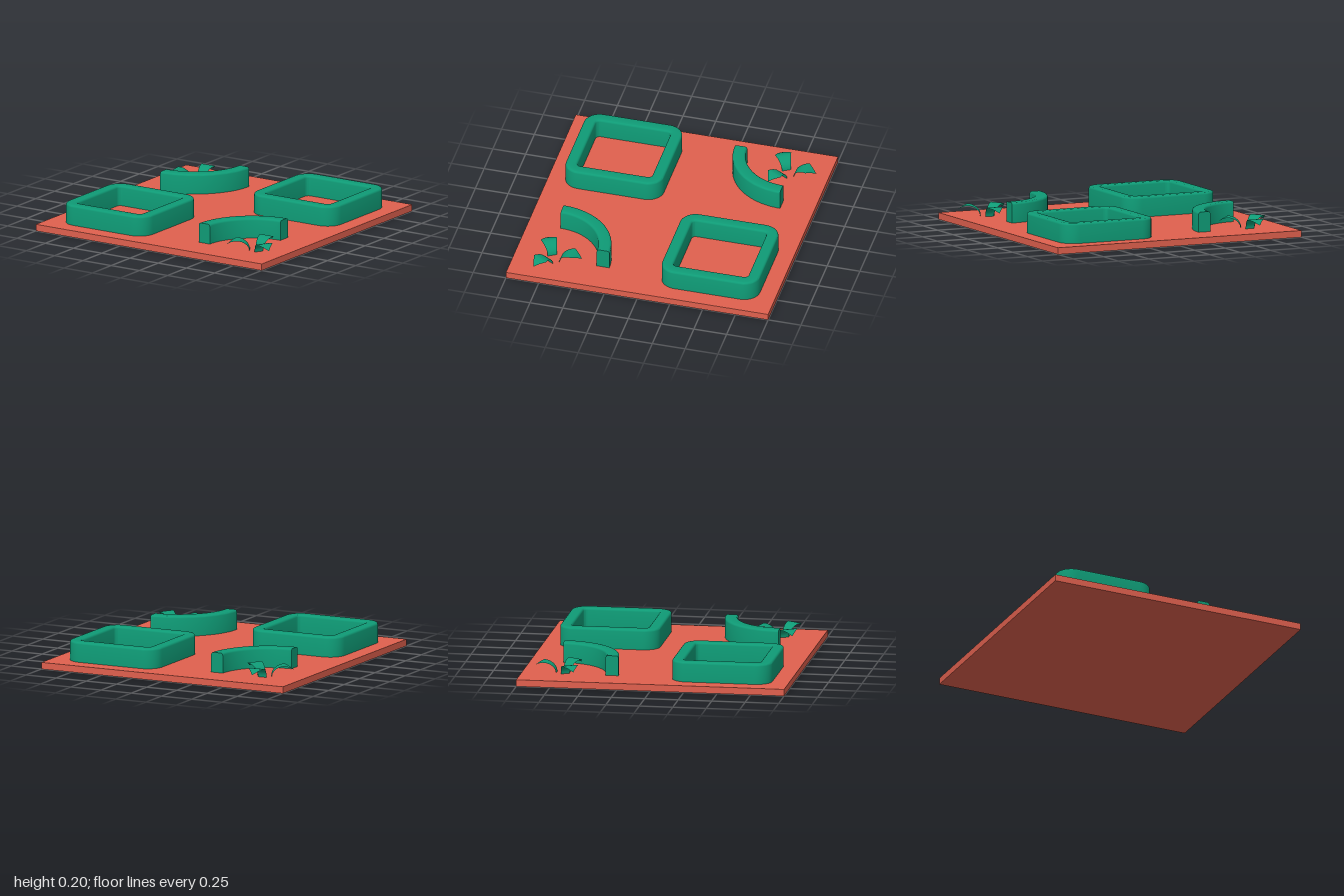
import * as THREE from 'three';
import { toCreasedNormals } from 'three/addons/utils/BufferGeometryUtils.js';

const PLATE_TOP = 0.05, WALL_TOP = 0.2;

// Wall cross-section [offset from centre line, y] with rounded top edges
function wallProfile(half, bevel = 0.016) {
  const pts = [[half, PLATE_TOP]];
  for (const start of [0, Math.PI / 2]) {
    for (let k = 0; k <= 3; k++) {
      const a = start + (k / 3) * Math.PI / 2;
      const cx = start === 0 ? half - bevel : bevel - half;
      pts.push([cx + bevel * Math.cos(a), WALL_TOP - bevel + bevel * Math.sin(a)]);
    }
  }
  pts.push([-half, PLATE_TOP]);
  return pts;
}

// Sweep a profile along a flat path of {x, z, a}, where a is the outward angle
function sweep(path, profile, closed) {
  const pos = [], idx = [], m = profile.length, n = path.length;
  for (const p of path)
    for (const [off, y] of profile)
      pos.push(p.x + off * Math.cos(p.a), y, p.z + off * Math.sin(p.a));
  for (let i = 0; i < (closed ? n : n - 1); i++) {
    for (let j = 0; j < m; j++) {
      const i2 = ((i + 1) % n) * m, j2 = (j + 1) % m;
      const a = i * m + j, b = i * m + j2, c = i2 + j2, d = i2 + j;
      idx.push(a, b, d, b, c, d);
    }
  }
  if (!closed) {
    const e = (n - 1) * m;
    for (let j = 1; j < m - 1; j++) idx.push(0, j + 1, j, e, e + j, e + j + 1);
  }
  const g = new THREE.BufferGeometry();
  g.setAttribute('position', new THREE.Float32BufferAttribute(pos, 3));
  g.setIndex(idx);
  return toCreasedNormals(g, Math.PI / 5);
}

// Points on a circular arc
function arcPath(cx, cz, r, a0, a1, steps) {
  return Array.from({ length: steps + 1 }, (_, k) => {
    const a = a0 + (a1 - a0) * k / steps;
    return { x: cx + r * Math.cos(a), z: cz + r * Math.sin(a), a };
  });
}

// Square frame with rounded corners
function frameGeometry() {
  const r = 0.075, c = 0.329 - r, path = [];
  [[1, 1], [-1, 1], [-1, -1], [1, -1]].forEach(([sx, sz], q) =>
    path.push(...arcPath(sx * c, sz * c, r, q * Math.PI / 2, (q + 1) * Math.PI / 2, 8)));
  return sweep(path, wallProfile(0.044), true);
}

// Thin leaf that rises from the plate, arches outward and ends in a drooping point
function leafGeometry() {
  const rows = 10, bend = 8, g = new THREE.PlaneGeometry(2, 1, 2, rows), p = g.attributes.position;
  for (let i = 0; i < p.count; i++) {
    const side = p.getX(i), row = Math.floor(i / 3);
    let out, y, half;
    if (row <= bend) {
      const t = (row / bend) * Math.PI / 2;
      out = 0.047 + 0.1 * (1 - Math.cos(t));
      y = PLATE_TOP + 0.081 * Math.sin(t);
      half = 0.035 + 0.0275 * (out - 0.047) / 0.1;
    } else {
      const t = (row - bend) / (rows - bend);
      out = 0.147 + 0.067 * t;
      y = 0.131 - 0.037 * t * (0.5 + 0.5 * t);
      half = 0.0625 * (1 - t);
    }
    p.setXYZ(i, side * half, y, -out);
  }
  g.computeVertexNormals();
  return g;
}

export function createModel() {
  const model = new THREE.Group();
  const red = new THREE.MeshStandardMaterial({ color: 0xe0604e });
  const green = new THREE.MeshStandardMaterial({ color: 0x0f9b76 });
  const leafGreen = new THREE.MeshStandardMaterial({ color: 0x0f9b76, side: THREE.DoubleSide });
  const add = (parent, name, geometry, material) => {
    const mesh = new THREE.Mesh(geometry, material);
    mesh.name = name;
    parent.add(mesh);
    return mesh;
  };

  // Base plate
  add(model, 'basePlate', new THREE.BoxGeometry(2, PLATE_TOP, 2), red).position.y = PLATE_TOP / 2;

  // Square frames on one diagonal
  const frame = frameGeometry();
  for (const s of [1, -1])
    add(model, s > 0 ? 'backFrame' : 'frontFrame', frame, green).position.set(0.5 * s, 0, -0.5 * s);

  // Quarter-circle walls and three-leaf plants on the other diagonal
  const wall = sweep(arcPath(0, 0, 0.424, 0, Math.PI / 2, 20), wallProfile(0.048), false);
  const leaf = leafGeometry();
  for (const s of [-1, 1]) {
    const prefix = s < 0 ? 'back' : 'front';
    const curved = add(model, prefix + 'CurvedWall', wall, green);
    curved.position.set(0.75 * s, 0, 0.75 * s);
    curved.rotation.y = s < 0 ? 0 : Math.PI;

    const plant = new THREE.Group();
    plant.name = prefix + 'Plant';
    plant.position.set(s < 0 ? -0.7 : 0.75, 0, 0.7 * s);
    for (let k = 0; k < 3; k++)
      add(plant, 'leaf', leaf, leafGreen).rotation.y = k * Math.PI * 2 / 3;
    model.add(plant);
  }
  return model;
}
